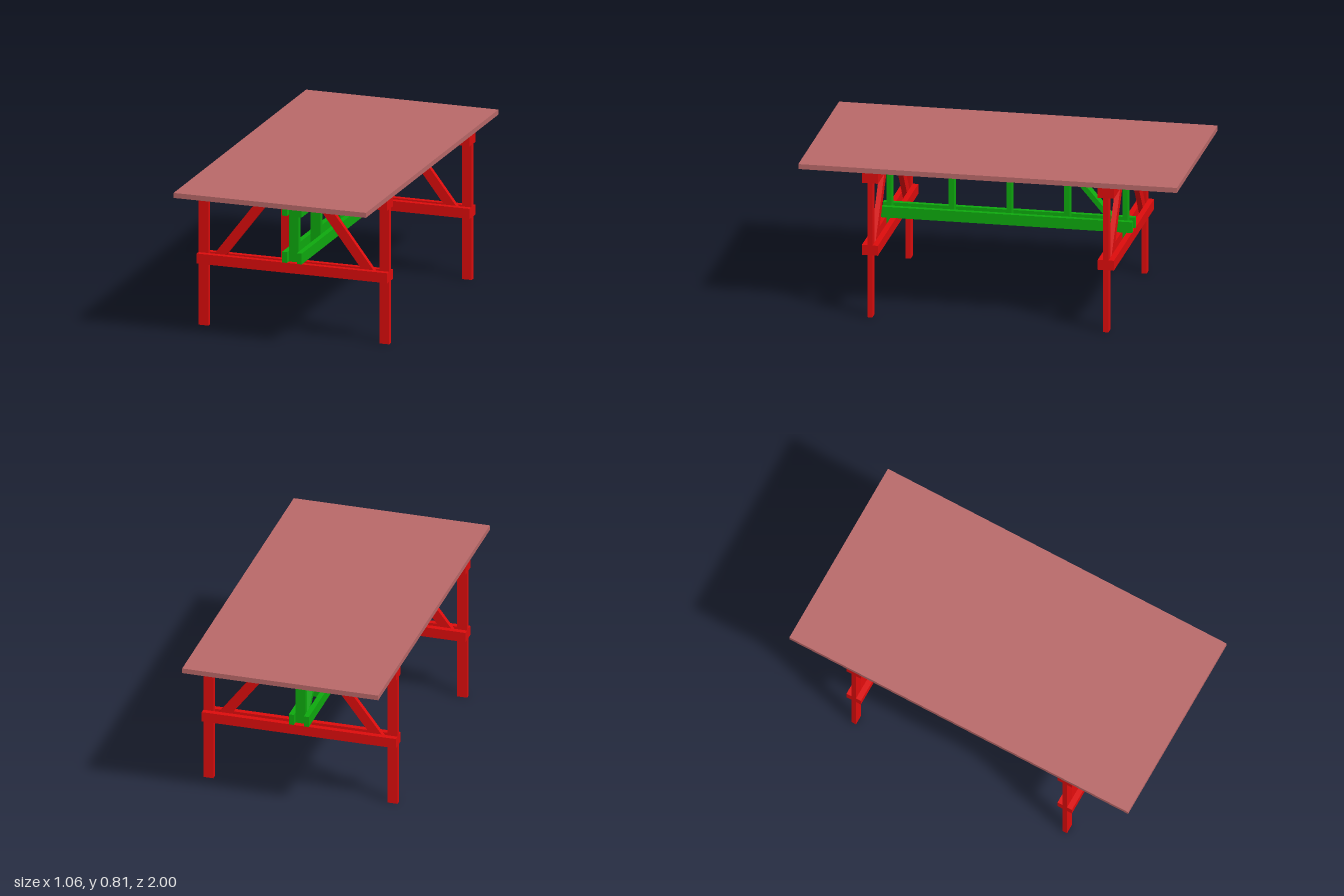
import * as THREE from 'three';

const T = 0.027;        // board thickness
const FRAME_Z = 0.623;  // distance of each trestle from the centre

export function createModel() {
  const table = new THREE.Group();
  table.name = 'trestleTable';

  const red = new THREE.MeshStandardMaterial({ color: 0xdd0c0c });
  const green = new THREE.MeshStandardMaterial({ color: 0x0ea90e });
  const wood = new THREE.MeshStandardMaterial({ color: 0xb86868 });

  // Box given by its lower and upper limits on each axis
  function board(parent, name, material, [x0, x1], [y0, y1], [z0, z1]) {
    const mesh = new THREE.Mesh(new THREE.BoxGeometry(x1 - x0, y1 - y0, z1 - z0), material);
    mesh.position.set((x0 + x1) / 2, (y0 + y1) / 2, (z0 + z1) / 2);
    mesh.name = name;
    parent.add(mesh);
  }

  // Slanted board with level ends, width w along the horizontal, lying in the xy plane
  function brace(parent, name, material, xa, ya, xb, yb, w) {
    const h = w / 2;
    const shape = new THREE.Shape([
      new THREE.Vector2(xa - h, ya), new THREE.Vector2(xa + h, ya),
      new THREE.Vector2(xb + h, yb), new THREE.Vector2(xb - h, yb),
    ]);
    const geometry = new THREE.ExtrudeGeometry(shape, { depth: T, bevelEnabled: false });
    geometry.translate(0, 0, -T / 2);
    const mesh = new THREE.Mesh(geometry, material);
    mesh.name = name;
    parent.add(mesh);
    return mesh;
  }

  // Table top
  board(table, 'tableTop', wood, [-0.53, 0.53], [0.785, 0.812], [-1, 1]);

  // Two trestles: legs and braces sandwiched between paired rails
  for (const end of [1, -1]) {
    const frame = new THREE.Group();
    frame.name = end > 0 ? 'frontTrestle' : 'backTrestle';
    frame.position.z = end * FRAME_Z;
    table.add(frame);

    for (const s of [1, -1]) {
      const side = s > 0 ? 'left' : 'right';
      board(frame, side + 'Leg', red, s > 0 ? [0.471, 0.525] : [-0.525, -0.471], [0, 0.785], [-T / 2, T / 2]);
      brace(frame, side + 'Brace', red, s * 0.441, 0.345, s * 0.106, 0.784, 0.066);

      const z = s > 0 ? [T / 2, 0.0425] : [-0.0425, -T / 2];
      board(frame, 'upperRail', red, [-0.525, 0.525], [0.73, 0.785], z);
      board(frame, 'lowerRail', red, [-0.525, 0.525], [0.338, 0.392], z);
    }
    // Centre post carrying the stretcher
    board(frame, 'centrePost', green, [-T, T], [0.338, 0.785], [-T / 2, T / 2]);
  }

  // Long stretcher truss: paired beams with posts between them
  const stretcher = new THREE.Group();
  stretcher.name = 'stretcher';
  table.add(stretcher);
  for (const x of [[T, 0.054], [-0.054, -T]]) {
    board(stretcher, 'upperBeam', green, x, [0.645, 0.7], [-0.666, 0.666]);
    board(stretcher, 'lowerBeam', green, x, [0.392, 0.45], [-0.666, 0.666]);
  }
  for (const z of [0.294, -0.011, -0.316]) {
    board(stretcher, 'stretcherPost', green, [-T, T], [0.392, 0.7], [z - T / 2, z + T / 2]);
  }

  // Single diagonal at the back end, turned into the yz plane and widened to the post width
  const diagonal = brace(stretcher, 'stretcherDiagonal', green, -0.596, 0.395, -0.334, 0.698, 0.036);
  diagonal.rotation.y = -Math.PI / 2;
  diagonal.scale.z = 2;

  return table;
}
